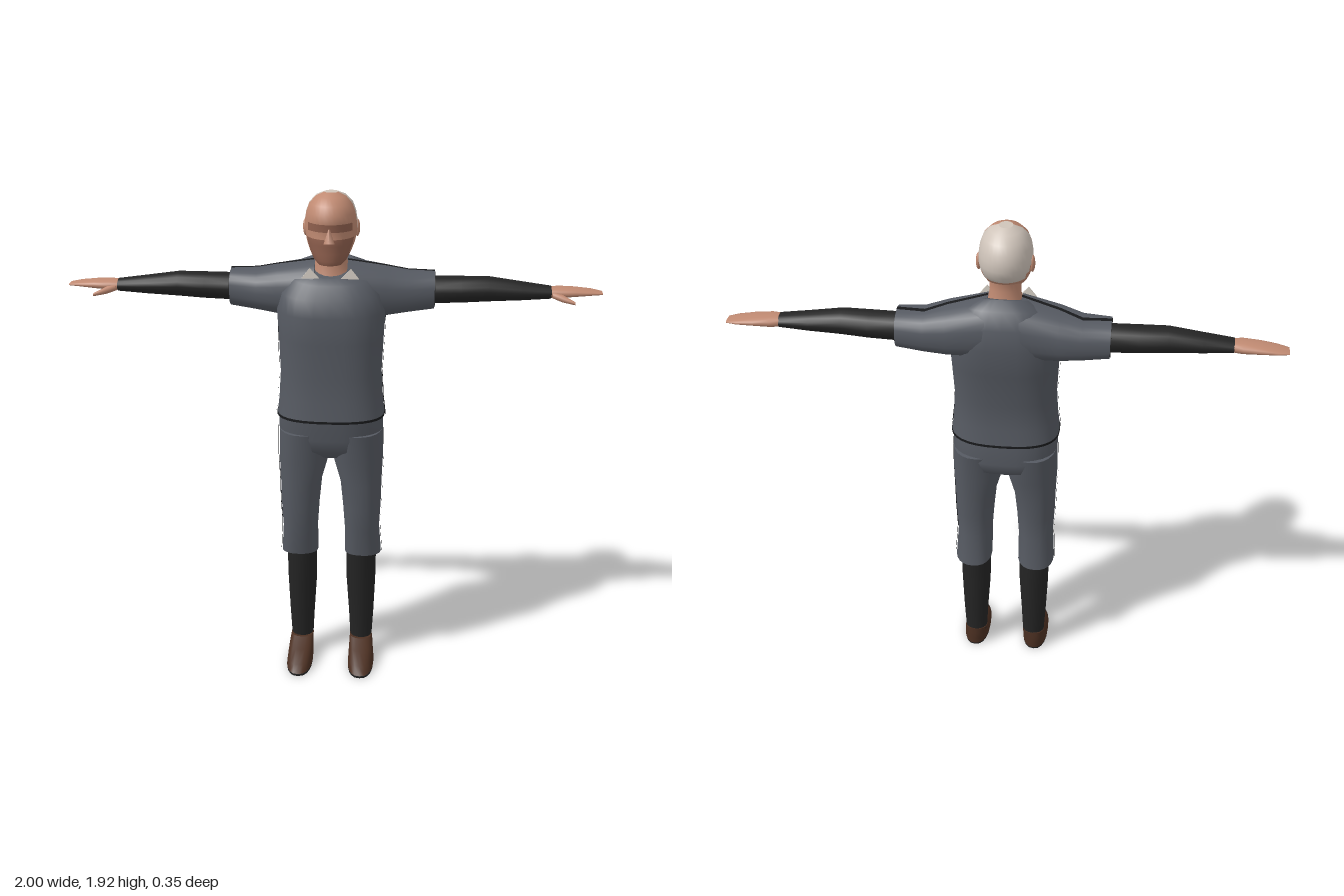
import * as THREE from 'three';

const mat = (name, color, side = THREE.FrontSide) => {
  const m = new THREE.MeshStandardMaterial({ color, side });
  m.name = name;
  return m;
};

// Superellipse ring: centre o, half axes a and b, squareness e
const V = (x, y, z) => new THREE.Vector3(x, y, z);
const pow = (v, e) => Math.sign(v) * Math.abs(v) ** (2 / e);
const ringPoint = (r, t, grow = 0) => {
  const p = r.a.clone().multiplyScalar(pow(Math.cos(t), r.e))
    .addScaledVector(r.b, pow(Math.sin(t), r.e));
  return p.setLength(p.length() + grow).add(r.o);
};

// Rings for upright parts, listed top to bottom: [yFront, yBack, xCentre, xRadius, zFront, zBack]
const upright = (rows, e = 2) => rows.map(([yf, yb, x, rx, zf, zb]) => ({
  o: V(x, (yf + yb) / 2, (zf + zb) / 2), a: V(rx, 0, 0), b: V(0, (yf - yb) / 2, (zf - zb) / 2), e,
}));
// Rings for parts along +x: [x, yLow, yHigh, zBack, zFront]
const sideways = (rows, e = 2) => rows.map(([x, y0, y1, z0, z1]) => ({
  o: V(x, (y0 + y1) / 2, (z0 + z1) / 2), a: V(0, (y1 - y0) / 2, 0), b: V(0, 0, (z1 - z0) / 2), e,
}));

// Closed skin over rings; pick(centroid) chooses a material index for each quad
function loft(name, rings, material, n = 24, pick = () => 0) {
  const pos = [];
  const add = (p) => pos.push(p.x, p.y, p.z) / 3 - 1;
  const sets = [[], [], [], []];
  const last = rings.length - 1;
  const ids = rings.map((r) => Array.from({ length: n }, (_, j) => add(ringPoint(r, (j / n) * Math.PI * 2))));
  const at = (i) => V(pos[i * 3], pos[i * 3 + 1], pos[i * 3 + 2]);
  for (let i = 0; i < last; i++) for (let j = 0; j < n; j++) {
    const k = (j + 1) % n;
    const [p, q, r, s] = [ids[i][j], ids[i][k], ids[i + 1][j], ids[i + 1][k]];
    const c = at(p).add(at(q)).add(at(r)).add(at(s)).multiplyScalar(0.25);
    sets[pick(c)].push(p, q, r, q, s, r);
  }
  for (const i of [0, last]) {
    const c = add(rings[i].o);
    const rim = ids[i].map((v) => add(at(v)));
    const cap = sets[pick(rings[i].o)];
    rim.forEach((v, j) => {
      const w = rim[(j + 1) % n];
      if (i) cap.push(c, v, w); else cap.push(c, w, v);
    });
  }
  const g = new THREE.BufferGeometry();
  g.setAttribute('position', new THREE.Float32BufferAttribute(pos, 3));
  g.setIndex(sets.flat());
  if (Array.isArray(material)) {
    let start = 0;
    sets.forEach((s, i) => { if (s.length) g.addGroup(start, s.length, i); start += s.length; });
  }
  g.computeVertexNormals();
  const m = new THREE.Mesh(g, material);
  m.name = name;
  return m;
}

// Thin ribbon lying on a loft, following one angle per ring
function piping(name, rings, angles, material, half = 0.009) {
  const pos = [], idx = [];
  rings.forEach((r, i) => {
    const mid = ringPoint(r, angles[i], 0.004);
    const side = ringPoint(r, angles[i] + 0.1, 0.004).sub(ringPoint(r, angles[i] - 0.1, 0.004)).setLength(half);
    for (const s of [-1, 1]) { const p = mid.clone().addScaledVector(side, s); pos.push(p.x, p.y, p.z); }
    if (i) { const k = 2 * i; idx.push(k - 2, k - 1, k, k - 1, k + 1, k); }
  });
  const g = new THREE.BufferGeometry();
  g.setAttribute('position', new THREE.Float32BufferAttribute(pos, 3));
  g.setIndex(idx);
  g.computeVertexNormals();
  const m = new THREE.Mesh(g, material);
  m.name = name;
  return m;
}

export function createModel() {
  const cloth = mat('greyCloth', 0x565a62);
  const black = mat('blackKnit', 0x242424);
  const trim = mat('blackTrim', 0x191a1c, THREE.DoubleSide);
  const skin = mat('skin', 0xc08a72);
  const shade = mat('stubble', 0x91614f);
  const hairMat = mat('greyHair', 0xcfc4ba);
  const leather = mat('brownLeather', 0x4c3022);
  const white = mat('collarWhite', 0xd9d2c8, THREE.DoubleSide);
  const model = new THREE.Group();
  model.name = 'standingMan';

  // Jersey, waist line and seat of the trousers
  const jersey = upright([
    [1.61, 1.675, 0, 0.085, 0.055, -0.09],
    [1.59, 1.65, 0, 0.15, 0.09, -0.135],
    [1.54, 1.59, 0, 0.19, 0.122, -0.165],
    [1.48, 1.51, 0, 0.203, 0.14, -0.174],
    [1.38, 1.4, 0, 0.196, 0.14, -0.16],
    [1.25, 1.25, 0, 0.19, 0.133, -0.127],
    [1.15, 1.15, 0, 0.196, 0.14, -0.133],
    [1.08, 1.08, 0, 0.204, 0.146, -0.14],
  ], 2.6);
  const seat = upright([
    [1.09, 1.09, 0, 0.198, 0.14, -0.136],
    [1.0, 1.0, 0, 0.199, 0.13, -0.146],
    [0.95, 0.95, 0, 0.18, 0.117, -0.132],
    [0.91, 0.91, 0, 0.09, 0.07, -0.08],
  ], 2.5);
  model.add(loft('jersey', jersey, cloth, 32), loft('trouserSeat', seat, cloth, 32));
  model.add(loft('waistLine', upright([
    [1.086, 1.086, 0, 0.205, 0.147, -0.141], [1.077, 1.077, 0, 0.205, 0.147, -0.141],
  ], 2.6), trim, 32));

  // Neck and head, with hair and stubble as face groups
  model.add(loft('neck', upright([
    [1.72, 1.75, 0, 0.058, 0.045, -0.08], [1.66, 1.69, 0, 0.056, 0.03, -0.06], [1.59, 1.62, 0, 0.075, 0.05, -0.08],
  ]), skin, 20));
  const headRows = [
    [1.918, 0.025, 0.03, -0.025], [1.905, 0.056, 0.068, -0.062], [1.88, 0.079, 0.098, -0.09],
    [1.85, 0.09, 0.114, -0.107], [1.82, 0.095, 0.117, -0.114], [1.79, 0.096, 0.106, -0.113],
    [1.765, 0.092, 0.112, -0.105], [1.74, 0.086, 0.11, -0.088], [1.71, 0.074, 0.106, -0.055],
    [1.685, 0.06, 0.107, -0.015], [1.668, 0.042, 0.1, 0.025],
  ];
  model.add(loft('head', upright(headRows.map(([y, rx, zf, zb]) => [y, y, 0, rx, zf, zb])),
    [skin, hairMat, shade], 32, (c) => {
      if (c.y > 1.79 ? c.z < 0.015 : c.y > 1.73 && c.z < -0.045) return 1;
      if (c.y > 1.79 && c.y < 1.82 && c.z > 0.07) return 2;
      return c.y < 1.755 && c.z > 0.055 ? 2 : 0;
    }));
  const nose = new THREE.Mesh(new THREE.ConeGeometry(0.02, 0.06, 4, 1), skin);
  nose.name = 'nose';
  nose.position.set(0, 1.782, 0.114);
  nose.rotation.x = -0.2;
  model.add(nose);

  // Left half limbs, then a mirrored copy
  const half = new THREE.Group();
  half.name = 'leftSide';
  const ear = new THREE.Mesh(new THREE.SphereGeometry(1, 10, 8), skin);
  ear.name = 'ear';
  ear.scale.set(0.01, 0.032, 0.02);
  ear.position.set(0.094, 1.785, -0.015);
  half.add(ear);

  // Collar point
  const flap = new THREE.Shape([[0.04, 1.612], [0.105, 1.612], [0.075, 1.65]].map((p) => new THREE.Vector2(...p)));
  const collar = new THREE.Mesh(new THREE.ExtrudeGeometry(flap, { depth: 0.006, bevelEnabled: false }), white);
  collar.name = 'collarPoint';
  collar.position.z = 0.058;
  half.add(collar);

  // Sleeve, arm and hand
  const sleeve = sideways([
    [0.06, 1.44, 1.66, -0.165, 0.07], [0.2, 1.45, 1.632, -0.168, 0.045],
    [0.28, 1.46, 1.612, -0.162, 0.018], [0.38, 1.473, 1.61, -0.153, 0],
  ], 2.4);
  half.add(loft('sleeve', sleeve, cloth));
  half.add(piping('sleevePiping', sleeve, [0.1, 0, -0.1, 0], trim));
  half.add(loft('sleeveLining', sideways([
    [0.37, 1.478, 1.605, -0.148, -0.005], [0.382, 1.478, 1.605, -0.148, -0.005],
  ], 2.4), black));
  half.add(loft('arm', sideways([
    [0.36, 1.49, 1.592, -0.135, -0.02], [0.48, 1.495, 1.593, -0.135, -0.018], [0.58, 1.502, 1.594, -0.13, -0.02],
    [0.7, 1.508, 1.577, -0.122, -0.03], [0.81, 1.516, 1.562, -0.112, -0.04],
  ]), black, 16));
  half.add(loft('hand', sideways([
    [0.79, 1.52, 1.558, -0.107, -0.046], [0.84, 1.52, 1.56, -0.12, -0.038], [0.9, 1.525, 1.556, -0.125, -0.042],
    [0.96, 1.53, 1.548, -0.125, -0.052], [1.0, 1.532, 1.54, -0.115, -0.065],
  ], 2.4), skin, 16));
  half.add(loft('thumb', sideways([
    [0.815, 1.522, 1.548, -0.065, -0.04], [0.85, 1.512, 1.54, -0.055, -0.018], [0.895, 1.508, 1.52, -0.022, -0.006],
  ]), skin, 10));

  // Trouser leg, stocking and shoe
  const leg = upright([
    [1.02, 1.02, 0.1, 0.098, 0.13, -0.143], [0.9, 0.9, 0.104, 0.096, 0.112, -0.122],
    [0.8, 0.8, 0.116, 0.08, 0.1, -0.106], [0.7, 0.7, 0.12, 0.074, 0.094, -0.098],
    [0.6, 0.6, 0.121, 0.068, 0.08, -0.09], [0.49, 0.465, 0.125, 0.072, 0.06, -0.108],
  ], 2.3);
  half.add(loft('trouserLeg', leg, cloth));
  half.add(piping('legPiping', leg, [0.05, 0.05, 0, 0, 0, 0], trim));
  half.add(piping('jerseyPiping', jersey.slice(2), [-0.6, -0.25, 0.02, 0.1, 0.1, 0.08], trim));
  half.add(loft('stocking', upright([
    [0.52, 0.52, 0.118, 0.06, 0.045, -0.095], [0.35, 0.35, 0.118, 0.058, 0.03, -0.092],
    [0.2, 0.2, 0.12, 0.05, 0.012, -0.084], [0.07, 0.07, 0.12, 0.043, 0, -0.075],
  ]), black, 16));
  half.add(loft('shoe', upright([
    [0.085, 0.09, 0.12, 0.045, 0.012, -0.078], [0.06, 0.06, 0.122, 0.048, 0.075, -0.08],
    [0.035, 0.035, 0.123, 0.05, 0.15, -0.08], [0.008, 0.008, 0.124, 0.052, 0.178, -0.078],
  ], 2.4), leather, 20));
  half.add(loft('sole', upright([
    [0.009, 0.009, 0.124, 0.052, 0.18, -0.078], [0, 0, 0.124, 0.051, 0.177, -0.076],
  ], 2.4), black, 20));

  const other = half.clone();
  other.name = 'rightSide';
  other.scale.x = -1;
  model.add(half, other);
  return model;
}
